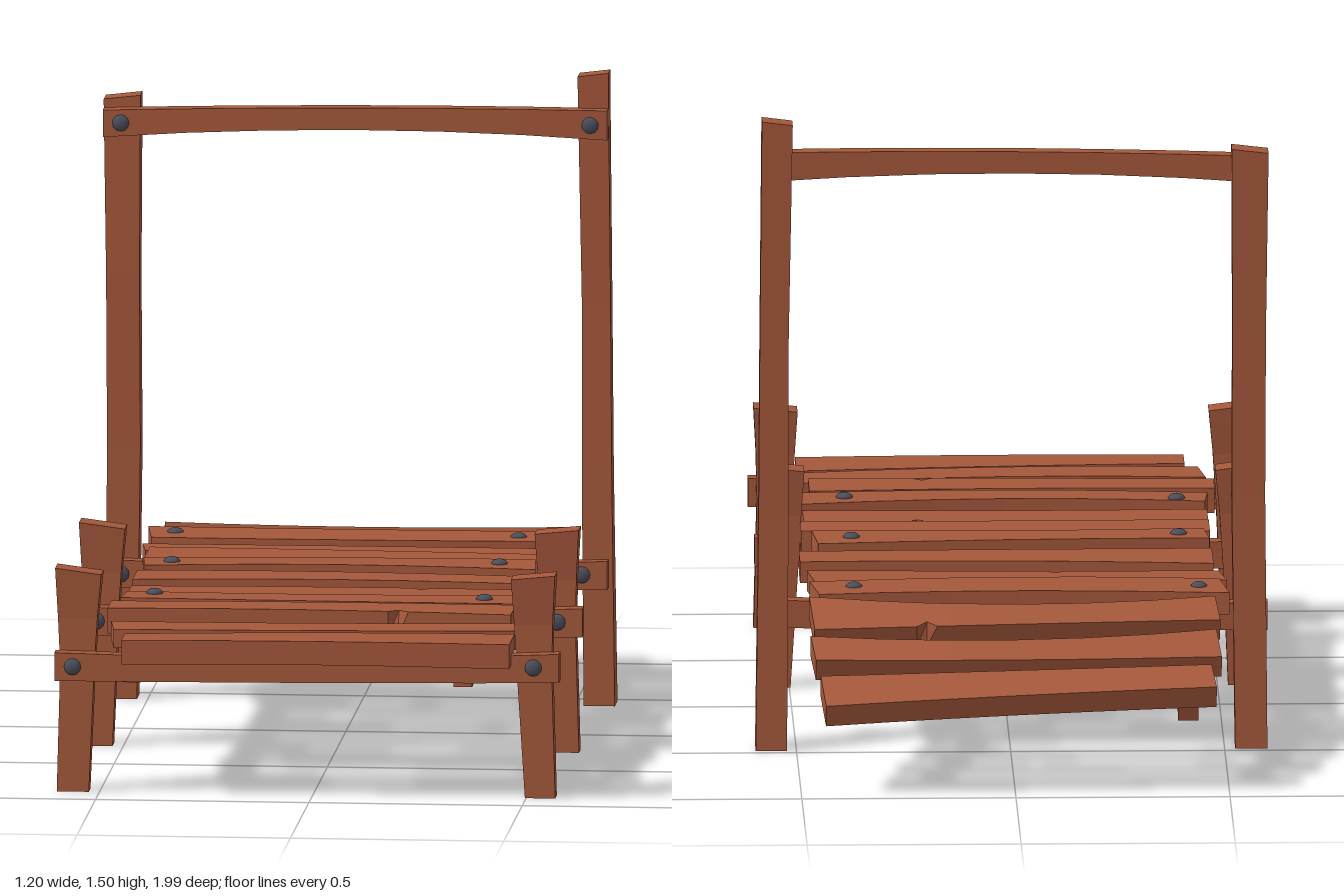
import * as THREE from 'three';

const wood = new THREE.MeshStandardMaterial({ color: 0xa5583b, flatShading: true });
wood.name = 'wood';
const iron = new THREE.MeshStandardMaterial({ color: 0x4a4f5c });
iron.name = 'iron';

// Closed timber lofted through four-cornered rings
function timber(name, rings) {
  const pos = [];
  const quad = (a, b, c, d) => pos.push(...a, ...b, ...c, ...a, ...c, ...d);
  for (let i = 0; i < rings.length - 1; i++) {
    const p = rings[i], q = rings[i + 1];
    for (let k = 0; k < 4; k++) {
      const n = (k + 1) % 4;
      quad(p[k], q[k], q[n], p[n]);
    }
  }
  quad(...rings[0]);
  quad(...[...rings[rings.length - 1]].reverse());
  const geo = new THREE.BufferGeometry();
  geo.setAttribute('position', new THREE.Float32BufferAttribute(pos, 3));
  geo.computeVertexNormals();
  const mesh = new THREE.Mesh(geo, wood);
  mesh.name = name;
  return mesh;
}

// Quadratic through left, middle and right values
const bend = ([l, m, r], t) =>
  l * (1 - t) * (1 - 2 * t) + m * 4 * t * (1 - t) + r * t * (2 * t - 1);

// Timber along x; chip = [x, side] nicks the upper edge (side 1 front, -1 back)
function alongX(name, x0, x1, back, front, low, high, skew = 0, chip = null) {
  const stops = [0, 1 / 6, 1 / 3, 1 / 2, 2 / 3, 5 / 6, 1].map((t) => [t, 0]);
  if (chip) {
    const c = (chip[0] - x0) / (x1 - x0);
    stops.push([c - 0.025, 0], [c, 0.02], [c + 0.025, 0]);
    stops.sort((a, b) => a[0] - b[0]);
  }
  return timber(name, stops.map(([t, nick]) => {
    const x = x0 + (x1 - x0) * t;
    const s = (t === 0 || t === 1) ? skew : 0;
    const z0 = bend(back, t), z1 = bend(front, t), y0 = bend(low, t), y1 = bend(high, t);
    const nf = chip && chip[1] > 0 ? nick : 0, nb = chip && chip[1] < 0 ? nick : 0;
    return [[x + s, y0, z1], [x + s, y1, z1 - nf], [x - s, y1, z0 + nb], [x - s, y0, z0]];
  }));
}

// Upright timber from rings [y, x0, x1, z0, z1, rise towards x1]
function post(name, rings) {
  return timber(name, rings.map(([y, x0, x1, z0, z1, rise = 0]) =>
    [[x0, y, z0], [x1, y + rise, z0], [x1, y + rise, z1], [x0, y, z1]]));
}

// Timber along z from rings [z, x0, x1, y0, y1]
function alongZ(name, rings) {
  return timber(name, rings.map(([z, x0, x1, y0, y1]) =>
    [[x0, y0, z], [x0, y1, z], [x1, y1, z], [x1, y0, z]]));
}

// Domed bolt head, facing up or forward
function bolt(x, y, z, forward) {
  const geo = new THREE.SphereGeometry(0.02, 12, 4, 0, Math.PI * 2, 0, Math.PI / 2);
  geo.scale(1, 0.6, 1);
  const mesh = new THREE.Mesh(geo, iron);
  mesh.name = 'bolt';
  mesh.position.set(x, y, z);
  if (forward) mesh.rotation.x = Math.PI / 2;
  return mesh;
}

export function createModel() {
  const model = new THREE.Group();
  model.name = 'pier';

  // Deck planks: x0, x1, back edge, front edge, bottom, top, end skew, chip
  const deck = [
    [-0.5, 0.458, [-0.545, -0.525, -0.545], [-0.39, -0.375, -0.405], 0.335, 0.39, 0.01],
    [-0.5, 0.462, [-0.36, -0.35, -0.365], [-0.26, -0.265, -0.24], 0.33, 0.38, 0.008, [-0.11, 1]],
    [-0.48, 0.485, [-0.24, -0.215, -0.205], [-0.075, -0.09, -0.09], 0.34, 0.393, 0],
    [-0.47, 0.445, [-0.02, -0.04, -0.065], [0.09, 0.06, 0.08], 0.345, 0.405, 0.006],
    [-0.48, 0.475, [0.1, 0.1, 0.12], [0.23, 0.21, 0.225], 0.34, 0.395, 0],
    [-0.48, 0.465, [0.26, 0.255, 0.245], [0.385, 0.365, 0.385], 0.33, 0.385, 0, [0.2, -1]],
    [-0.48, 0.465, [0.41, 0.435, 0.395], [0.505, 0.53, 0.52], 0.335, 0.398, -0.004],
    [-0.502, 0.445, [0.55, 0.545, 0.535], [0.655, 0.655, 0.675], 0.335, 0.398, 0, [0.18, 1]],
    [-0.478, 0.466, [0.74, 0.745, 0.695], [0.855, 0.85, 0.805], 0.335, 0.382, 0.008],
    [-0.44, 0.468, [0.9, 0.865, 0.835], [0.995, 0.99, 0.985], 0.32, 0.38, 0],
  ];
  for (const [x0, x1, back, front, lo, hi, skew, chip] of deck) {
    model.add(alongX('deckPlank', x0, x1, back, front,
      [lo, lo + 0.004, lo], [hi - 0.003, hi, hi - 0.002], skew, chip));
  }
  for (const [x, y, z] of [[-0.44, 0.386, -0.47], [0.365, 0.387, -0.46], [-0.405, 0.402, 0.03],
    [0.36, 0.403, 0.005], [-0.41, 0.396, 0.44], [0.365, 0.397, 0.465]]) {
    model.add(bolt(x, y, z, false));
  }

  // Long bearers beneath the deck
  for (const x of [-0.422, 0.354]) {
    model.add(alongZ('deckBearer', [
      [-0.49, x - 0.018, x + 0.018, 0.288, 0.34],
      [0.2, x - 0.02, x + 0.02, 0.28, 0.34],
      [0.925, x - 0.022, x + 0.022, 0.266, 0.325]]));
  }

  // Sloping ramp at the back, built flat and tipped down
  const ramp = new THREE.Group();
  ramp.name = 'ramp';
  ramp.position.set(0, 0.343, -0.635);
  ramp.rotation.x = -0.37;
  const local = (list, shift) => list.map((z) => (z + 0.635 + shift) / Math.cos(0.37));
  const rampPlanks = [
    [-0.48, 0.468, [-0.685, -0.7, -0.715], [-0.57, -0.6, -0.565], 0, 0, [0.2, -1]],
    [-0.48, 0.468, [-0.83, -0.84, -0.835], [-0.7, -0.74, -0.72], 0, 0],
    [-0.465, 0.448, [-0.96, -0.98, -1.0], [-0.85, -0.86, -0.86], 0.008, -0.012],
  ];
  for (const [x0, x1, back, front, yl, yr, chip] of rampPlanks) {
    ramp.add(alongX('rampPlank', x0, x1, local(back, 0.01), local(front, -0.011),
      [yl - 0.028, -0.026, yr - 0.028], [yl + 0.028, 0.029, yr + 0.028], 0.005, chip));
  }
  for (const x of [-0.405, 0.336]) {
    ramp.add(alongZ('rampBearer', [
      [-0.31, x - 0.024, x + 0.024, -0.076, -0.028],
      [0.1, x - 0.022, x + 0.022, -0.076, -0.028]]));
  }
  model.add(ramp);

  // Two pairs of short flared posts
  for (const z of [0.87, 0.228]) {
    model.add(post('shortPostRight', [
      [0, -0.6, -0.525, z - 0.022, z + 0.024],
      [0.3, -0.592, -0.512, z - 0.024, z + 0.024],
      [0.41, -0.597, -0.505, z - 0.022, z + 0.024],
      [0.53, -0.603, -0.495, z - 0.033, z + 0.034, -0.014]]));
    model.add(post('shortPostLeft', [
      [0, 0.497, 0.568, z - 0.022, z + 0.024],
      [0.3, 0.478, 0.56, z - 0.024, z + 0.024],
      [0.41, 0.472, 0.562, z - 0.022, z + 0.024],
      [0.518, 0.465, 0.568, z - 0.033, z + 0.034, 0.01]]));
  }

  // Tall gate posts
  model.add(post('tallPostRight', [
    [0, -0.6, -0.525, -0.48, -0.408],
    [0.6, -0.595, -0.517, -0.468, -0.408],
    [1.0, -0.597, -0.519, -0.462, -0.405],
    [1.42, -0.603, -0.517, -0.468, -0.408, 0.01]]));
  model.add(post('tallPostLeft', [
    [0, 0.522, 0.595, -0.48, -0.405],
    [0.55, 0.518, 0.588, -0.462, -0.403],
    [0.95, 0.518, 0.585, -0.458, -0.405],
    [1.49, 0.508, 0.58, -0.457, -0.402, 0.009]]));

  // Cross beams bolted to the front of each pair of posts
  for (const z of [0.915, 0.273, -0.392]) {
    const b = z - 0.022, f = z + 0.018;
    model.add(alongX('crossBeam', -0.602, 0.58, [b, b, b], [f, f, f],
      [0.268, 0.272, 0.28], [0.335, 0.33, 0.348]));
    model.add(bolt(-0.56, 0.302, f, true), bolt(0.52, 0.315, f, true));
  }

  // Bowed top rail of the gate
  model.add(alongX('topRail', -0.602, 0.58, [-0.412, -0.408, -0.412], [-0.372, -0.368, -0.372],
    [1.336, 1.362, 1.345], [1.4, 1.414, 1.415]));
  model.add(bolt(-0.56, 1.37, -0.372, true), bolt(0.54, 1.38, -0.372, true));

  return model;
}
